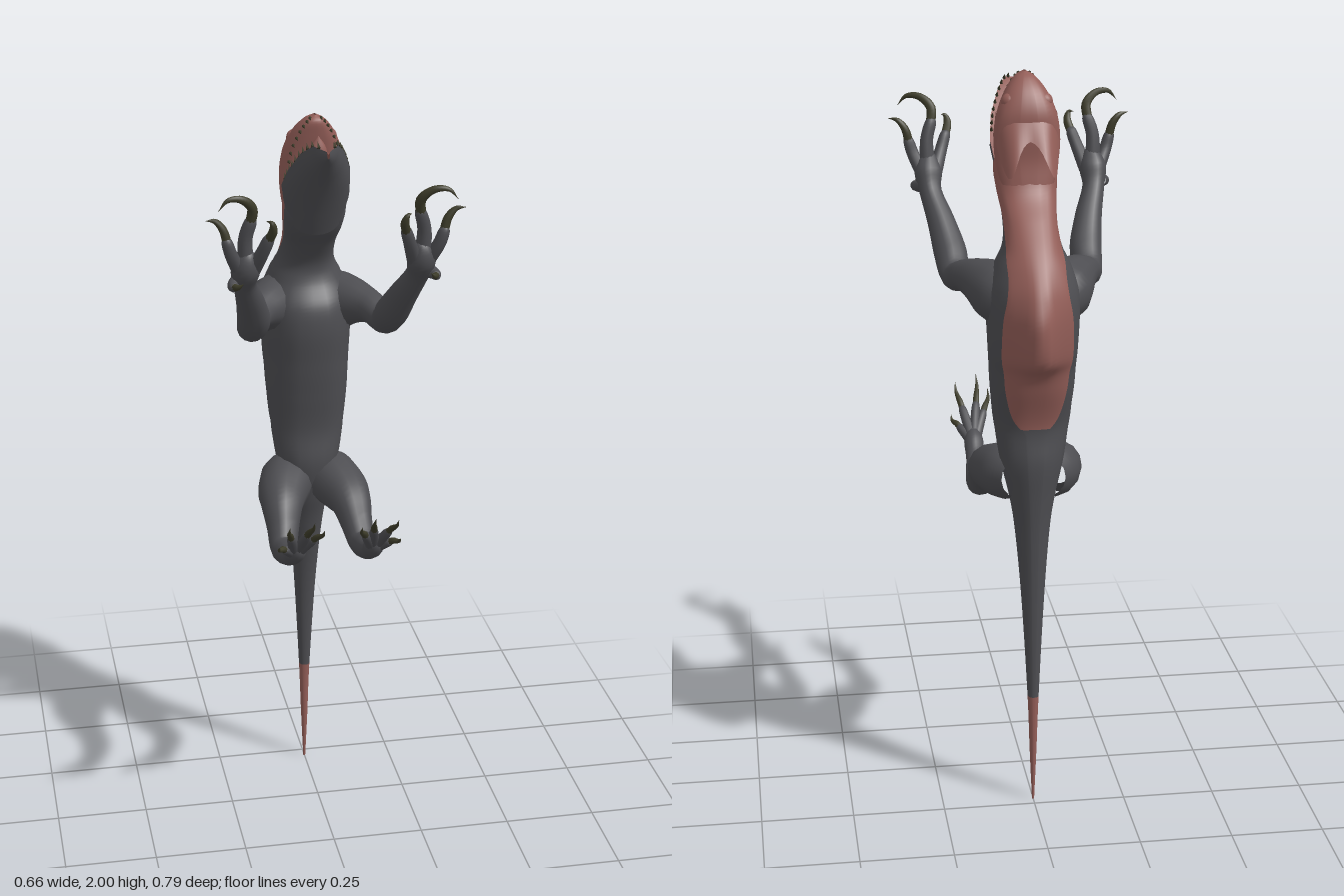
import * as THREE from 'three';

const V = (x, y, z) => new THREE.Vector3(x, y, z);
const mat = (name, color, side = THREE.FrontSide) => {
  const m = new THREE.MeshStandardMaterial({ color, side });
  m.name = name;
  return m;
};

// Skin a list of rings; pick(i, j) gives the material slot of each quad
function loft(rings, closed = true, pick = () => 0) {
  const n = rings[0].length, slots = [[], []], geo = new THREE.BufferGeometry();
  for (let i = 0; i < rings.length - 1; i++) {
    for (let j = 0; j < (closed ? n : n - 1); j++) {
      const k = (j + 1) % n, a = i * n + j, b = i * n + k, c = b + n, d = a + n;
      slots[pick(i, j)].push(a, b, c, a, c, d);
    }
  }
  geo.setAttribute('position', new THREE.Float32BufferAttribute(rings.flat().flatMap(p => [p.x, p.y, p.z]), 3));
  geo.setIndex([...slots[0], ...slots[1]]);
  geo.addGroup(0, slots[0].length, 0);
  geo.addGroup(slots[0].length, slots[1].length, 1);
  geo.computeVertexNormals();
  return geo;
}

// Smoothly resample rows of six numbers
function smoothRows(rows, per) {
  const a = new THREE.CatmullRomCurve3(rows.map(r => V(r[0], r[1], r[2])), false, 'catmullrom', 0.5);
  const b = new THREE.CatmullRomCurve3(rows.map(r => V(r[3], r[4] ?? -0.4, r[5] ?? 0)), false, 'catmullrom', 0.5);
  const n = (rows.length - 1) * per;
  return Array.from({ length: n + 1 }, (_, i) => [...a.getPoint(i / n).toArray(), ...b.getPoint(i / n).toArray()]);
}

// Horizontal cross-section, divided at z = split into a belly arc and a back arc
const BELLY = 18, BACK = 12;
const bend = (v, e) => Math.sign(v) * Math.abs(v) ** e;
function slice([y, zf, zb, w, split, ridge], e) {
  const zc = (zf + zb) / 2, hz = (zf - zb) / 2, ring = [];
  const c = THREE.MathUtils.clamp((split - zc) / hz, -0.98, 0.98);
  const a = Math.acos(bend(c, 1 / e));
  for (let j = 0; j < BELLY + BACK; j++) {
    const t = j < BELLY ? -a + 2 * a * j / BELLY : a + (2 * Math.PI - 2 * a) * (j - BELLY) / BACK;
    const x = w * bend(Math.sin(t), e);
    const spine = Math.cos(t) < 0 ? ridge * Math.exp(-((x / 0.04) ** 2)) : 0;
    ring.push(V(x, y, zc + hz * bend(Math.cos(t), e) - spine));
  }
  return ring;
}

// Tapered tube; each point is [x, y, z, radius]
function limb(points, sides = 14, per = 5) {
  const curve = new THREE.CatmullRomCurve3(points.map(p => V(p[0], p[1], p[2])), false, 'catmullrom', 0.5);
  const size = new THREE.CatmullRomCurve3(points.map(p => V(p[3], 0, 0)), false, 'catmullrom', 0.5);
  const n = (points.length - 1) * per, rings = [];
  let tan = curve.getTangent(0);
  const nor = V(0.31, 0.2, -0.9).cross(tan).normalize();
  for (let i = 0; i <= n; i++) {
    const next = curve.getTangent(i / n), c = curve.getPoint(i / n), r = Math.max(size.getPoint(i / n).x, 0.0004);
    nor.applyQuaternion(new THREE.Quaternion().setFromUnitVectors(tan, next));
    tan = next;
    const bin = tan.clone().cross(nor);
    rings.push(Array.from({ length: sides }, (_, j) => {
      const t = j / sides * Math.PI * 2;
      return c.clone().addScaledVector(nor, r * Math.cos(t)).addScaledVector(bin, r * Math.sin(t));
    }));
  }
  return loft(rings);
}

export function createModel() {
  const root = new THREE.Group();
  const grey = mat('dark grey skin', 0x4e4e52);
  const red = mat('dull red skin', 0x935e58);
  const redThin = red;
  red.side = THREE.DoubleSide;
  const horn = mat('dark olive horn', 0x3d3c2a);
  const add = (name, geo, m, parent = root) => {
    const mesh = new THREE.Mesh(geo, m);
    mesh.name = name;
    parent.add(mesh);
    return mesh;
  };

  // Tail, torso and neck: y, front z, back z, half width, colour split z, spine ridge
  const body = smoothRows([
    [0.005, -0.216, -0.224, 0.003], [0.15, -0.206, -0.231, 0.009], [0.32, -0.198, -0.236, 0.015],
    [0.6, -0.17, -0.242, 0.03], [0.8, -0.13, -0.25, 0.046], [0.9, -0.1, -0.257, 0.062],
    [1.0, -0.078, -0.265, 0.085, -0.3], [1.1, -0.085, -0.258, 0.1, -0.254],
    [1.2, -0.07, -0.29, 0.11, -0.265], [1.26, -0.06, -0.308, 0.113, -0.275, 0.01],
    [1.31, -0.053, -0.332, 0.116, -0.288, 0.053], [1.4, -0.042, -0.342, 0.12, -0.302, 0.05],
    [1.47, -0.05, -0.332, 0.118, -0.305, 0.03], [1.53, -0.085, -0.305, 0.098, -0.275, 0.015],
    [1.58, -0.09, -0.272, 0.075, -0.215, 0.005], [1.64, -0.055, -0.215, 0.07, -0.135],
    [1.7, -0.005, -0.152, 0.078, -0.07], [1.76, 0.015, -0.125, 0.083, -0.035], [1.82, -0.04, -0.12, 0.07, -0.05],
  ], 6);
  add('body', loft(body.map(r => slice(r, 0.85)), true, (i, j) => {
    const y = (body[i][0] + body[i + 1][0]) / 2;
    return y < 0.32 || (y > 1.1 && j >= BELLY) ? 1 : 0;
  }), [grey, red]);

  // Skull
  const head = new THREE.Group();
  head.name = 'head';
  root.add(head);
  const skull = smoothRows([
    [1.72, -0.06, -0.138, 0.07], [1.78, -0.04, -0.13, 0.083], [1.84, -0.04, -0.133, 0.086],
    [1.9, -0.032, -0.133, 0.077], [1.95, -0.022, -0.113, 0.055], [1.985, -0.018, -0.08, 0.028], [2.0, -0.033, -0.05, 0.003],
  ], 5);
  add('skull', loft(skull.map(r => slice(r, 0.8))), red, head);

  // Two-lobed frill around the back of the skull
  const frill = [];
  for (let i = 0; i <= 8; i++) {
    const v = i / 8, ring = [];
    for (let j = 0; j <= 32; j++) {
      const t = (j / 16 - 1) * 1.8, lobe = Math.exp(-(((Math.abs(t) - 0.75) / 0.4) ** 2));
      ring.push(V((0.079 + 0.007 * v) * Math.sin(t), 1.9 - v * (0.06 + 0.09 * lobe),
        -0.08 - (0.045 + v * (0.03 + 0.08 * lobe)) * Math.cos(t)));
    }
    frill.push(ring);
  }
  add('frill', loft(frill, false), redThin, head);

  // Lower jaw: rim z, rim y, chin z, chin y, half width
  const jaw = [
    [-0.06, 1.76, 0.0, 1.69, 0.078], [-0.035, 1.82, 0.03, 1.75, 0.089], [0.02, 1.875, 0.055, 1.805, 0.08],
    [0.07, 1.93, 0.095, 1.865, 0.056], [0.11, 1.957, 0.128, 1.91, 0.032], [0.145, 1.95, 0.148, 1.932, 0.004],
  ];
  const jawSkin = jaw.map(([z, y, cz, cy, w]) => Array.from({ length: 17 }, (_, j) => {
    const t = j / 16 * Math.PI, s = Math.sin(t) ** 0.8;
    return V(-w * Math.cos(t), y + (cy - y) * s, z + (cz - z) * s);
  }));
  add('lowerJaw', loft(jawSkin, false), grey, head);
  const floor = jaw.map(([z, y, cz, cy, w]) => Array.from({ length: 9 }, (_, j) => {
    const u = j / 4 - 1, s = 0.35 * (1 - u * u);
    return V(-u * w, y + (cy - y) * s, z + (cz - z) * s);
  }));
  add('mouthFloor', loft(floor, false), red, head);
  const tongue = add('tongue', limb([[0, 1.78, 0, 0.03], [0, 1.86, 0.005, 0.03], [0, 1.92, 0.008, 0.022], [0, 1.955, 0.014, 0.001]]), red, head);
  tongue.scale.z = 0.6;

  // Teeth
  const toothGeo = new THREE.ConeGeometry(0.0045, 0.02, 6);
  const tooth = (pos, dir) => {
    const t = add('tooth', toothGeo, horn, head);
    t.position.copy(pos).addScaledVector(dir, 0.008);
    t.quaternion.setFromUnitVectors(V(0, 1, 0), dir);
  };
  const rim = new THREE.CatmullRomCurve3(jaw.map(([z, y, , , w]) => V(w * 0.94, y, z)));

  for (const s of [1, -1]) {
    const flip = pts => pts.map(([x, y, z, r]) => [x * s, y, z, r]);
    const side = s > 0 ? 'left' : 'right';
    for (let i = 0; i < 10; i++) {
      const p = rim.getPointAt(0.3 + i * 0.068);
      tooth(V(p.x * s, p.y, p.z), V(0, 0.65, -0.76));
    }
    for (let i = 0; i < 8; i++) {
      const r = skull[13 + i * 2];
      tooth(V(r[3] * 0.82 * s, r[0], r[1] - 0.008), V(0, -0.1, 1).normalize());
    }

    // Eye bulge
    const eye = add(side + 'EyeBulge', new THREE.SphereGeometry(0.023, 16, 12), red, head);
    eye.position.set(0.044 * s, 1.928, -0.088);

    // Digit: fleshy tube followed by a curved claw
    const digit = (name, flesh, claw, parent) => {
      add(name, limb(flip(flesh), 10), grey, parent);
      add(name + 'Claw', limb(flip(claw), 8), horn, parent);
    };

    // Arm and hand
    const arm = new THREE.Group();
    arm.name = side + 'Arm';
    root.add(arm);
    add('armSkin', limb(flip([
      [0.04, 1.43, -0.22, 0.07], [0.08, 1.45, -0.17, 0.082], [0.12, 1.465, -0.11, 0.062], [0.155, 1.465, -0.05, 0.044],
      [0.178, 1.452, 0.01, 0.039], [0.183, 1.495, 0.075, 0.044], [0.2, 1.565, 0.138, 0.037], [0.222, 1.635, 0.193, 0.03],
      [0.225, 1.685, 0.225, 0.037], [0.222, 1.725, 0.24, 0.02], [0.222, 1.735, 0.243, 0.001],
    ])), grey, arm);
    digit('outerFinger',
      [[0.235, 1.67, 0.22, 0.02], [0.262, 1.725, 0.247, 0.017], [0.275, 1.765, 0.255, 0.014], [0.28, 1.78, 0.256, 0.002]],
      [[0.273, 1.757, 0.254, 0.012], [0.283, 1.795, 0.253, 0.011], [0.303, 1.82, 0.255, 0.007], [0.328, 1.825, 0.263, 0]], arm);
    digit('middleFinger',
      [[0.225, 1.69, 0.23, 0.022], [0.227, 1.765, 0.24, 0.018], [0.214, 1.815, 0.25, 0.015], [0.212, 1.83, 0.253, 0.002]],
      [[0.216, 1.805, 0.248, 0.013], [0.212, 1.85, 0.262, 0.013], [0.24, 1.878, 0.277, 0.01], [0.276, 1.88, 0.286, 0.006], [0.3, 1.855, 0.29, 0]], arm);
    digit('innerFinger',
      [[0.207, 1.68, 0.225, 0.02], [0.187, 1.735, 0.258, 0.017], [0.173, 1.775, 0.275, 0.014], [0.17, 1.79, 0.28, 0.002]],
      [[0.175, 1.767, 0.272, 0.012], [0.165, 1.8, 0.292, 0.011], [0.17, 1.822, 0.3, 0.006], [0.182, 1.825, 0.292, 0]], arm);
    digit('thumb',
      [[0.24, 1.65, 0.205, 0.02], [0.258, 1.645, 0.232, 0.015], [0.257, 1.645, 0.25, 0.011], [0.255, 1.648, 0.257, 0.002]],
      [[0.258, 1.645, 0.246, 0.01], [0.25, 1.65, 0.266, 0.007], [0.238, 1.662, 0.278, 0]], arm);

    // Leg and foot
    const leg = new THREE.Group();
    leg.name = side + 'Leg';
    root.add(leg);
    add('legSkin', limb(flip([
      [0.035, 0.95, -0.2, 0.055], [0.06, 0.945, -0.14, 0.074], [0.085, 0.932, -0.07, 0.068], [0.096, 0.915, -0.015, 0.056],
      [0.102, 0.875, 0.032, 0.044], [0.108, 0.838, 0.078, 0.037], [0.108, 0.847, 0.135, 0.032], [0.107, 0.868, 0.195, 0.025],
      [0.105, 0.9, 0.242, 0.027], [0.104, 0.922, 0.265, 0.017], [0.104, 0.93, 0.27, 0.001],
    ])), grey, leg);
    const toes = [[0.142, 1.035, 0.38], [0.08, 1.05, 0.392], [0.05, 1.015, 0.366], [0.16, 0.955, 0.322]];
    toes.forEach(([x, y, z], i) => {
      const at = (u, lift, r) => [0.105 + (x - 0.105) * Math.min(1, u * 1.15), 0.89 + (y - 0.89) * u + lift, 0.235 + (z - 0.235) * u, r];
      digit('toe' + (i + 1),
        [at(0, 0, 0.016), at(0.3, 0.003, 0.014), at(0.55, 0.003, 0.011), at(0.64, 0, 0.001)],
        [at(0.48, 0.003, 0.009), at(0.66, 0.003, 0.0085), at(0.85, -0.004, 0.005), at(1, 0, 0)], leg);
    });
  }
  return root;
}
